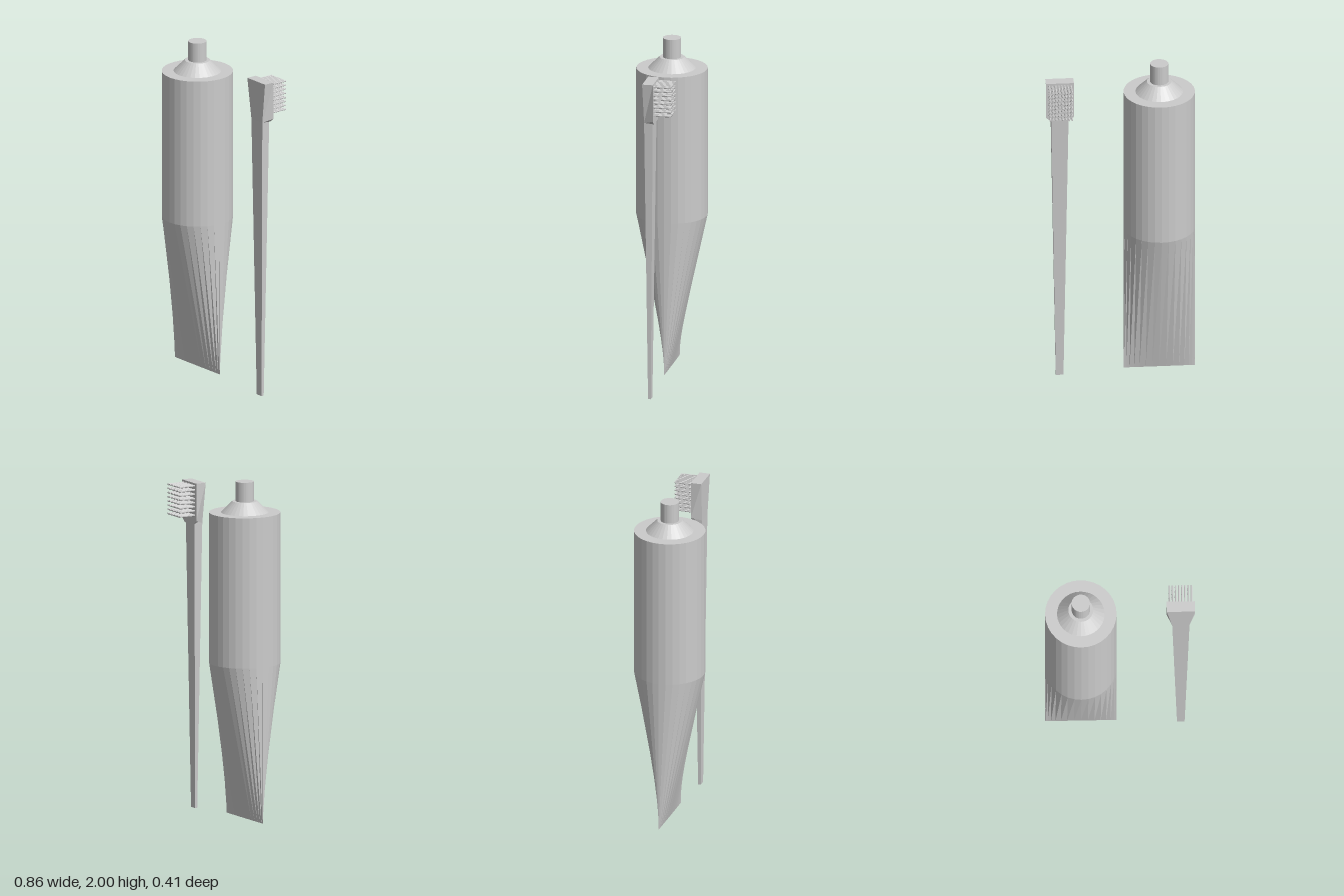
import * as THREE from 'three';

const material = new THREE.MeshStandardMaterial({ color: 0xcccccc, flatShading: true, side: THREE.DoubleSide });

function part(parent, name, geometry, x = 0, y = 0, z = 0) {
  const mesh = new THREE.Mesh(geometry, material);
  mesh.name = name;
  mesh.position.set(x, y, z);
  parent.add(mesh);
  return mesh;
}

// Box whose corners are moved by rule(x, y, z) with each input -1 or 1
function shapedBox(rule) {
  const geometry = new THREE.BoxGeometry(2, 2, 2);
  const p = geometry.attributes.position;
  for (let i = 0; i < p.count; i++) {
    p.setXYZ(i, ...rule(Math.sign(p.getX(i)), Math.sign(p.getY(i)), Math.sign(p.getZ(i))));
  }
  geometry.computeVertexNormals();
  return geometry;
}

function createTube() {
  const tube = new THREE.Group();
  tube.name = 'tube';
  tube.position.x = -0.226;
  const r = 0.206, seam = 0.94, top = 1.82, foot = 0.028;

  part(tube, 'tubeBody', new THREE.CylinderGeometry(r, r, top - seam, 32, 1, true), 0, (top + seam) / 2);
  part(tube, 'tubeTop', new THREE.CircleGeometry(r, 32).rotateX(-Math.PI / 2), 0, top);

  // Lower half is pinched to a flat seam across x
  const pinch = new THREE.CylinderGeometry(r, r, seam - foot, 32, 1, true);
  const p = pinch.attributes.position;
  for (let i = 0; i < p.count; i++) if (p.getY(i) < 0) p.setZ(i, p.getZ(i) * 0.005);
  pinch.computeVertexNormals();
  part(tube, 'crimpedEnd', pinch, 0, (seam + foot) / 2);

  part(tube, 'shoulder', new THREE.CylinderGeometry(0.072, 0.137, 0.065, 32), 0, top + 0.0325);
  part(tube, 'nozzle', new THREE.CylinderGeometry(0.053, 0.053, 0.125, 32), 0, 1.9375);
  return tube;
}

function createBrush() {
  const brush = new THREE.Group();
  brush.name = 'brush';
  brush.position.x = 0.35;

  // Long handle, narrowing to the foot
  part(brush, 'handle', shapedBox((x, y, z) => (y > 0
    ? [x * 0.05, 1.67, z > 0 ? 0.025 : -0.026]
    : [x * 0.022, 0, z * 0.008])));

  // Head: square at the back, narrowing downwards at the front
  part(brush, 'head', shapedBox((x, y, z) => (y > 0
    ? [x * 0.081, 1.91, z > 0 ? 0.03 : -0.033]
    : z > 0 ? [x * 0.05, 1.67, 0.025] : [x * 0.081, 1.69, -0.033])));
  part(brush, 'headNeck', shapedBox((x, y, z) => (z > 0
    ? [x * 0.05, 1.68 + y * 0.01, 0.02]
    : [x * (y > 0 ? 0.081 : 0.05), y > 0 ? 1.69 : 1.665, -0.033])));

  // Square grid of bristles, slightly splayed
  const bristles = new THREE.Group();
  bristles.name = 'bristles';
  brush.add(bristles);
  const shaft = new THREE.CylinderGeometry(0.0055, 0.0055, 0.108, 6).rotateX(-Math.PI / 2);
  for (let row = 0; row < 8; row++) {
    for (let col = 0; col < 8; col++) {
      const b = part(bristles, 'bristle', shaft, (col - 3.5) * 0.018, 1.808 + (row - 3.5) * 0.0245, -0.083);
      b.rotation.set(0.02 * Math.sin(row * 5 + col * 3), 0.02 * Math.sin(row * 2 + col * 7), 0);
    }
  }
  return brush;
}

export function createModel() {
  const model = new THREE.Group();
  model.name = 'tubeAndBrush';
  model.add(createTube(), createBrush());
  return model;
}
